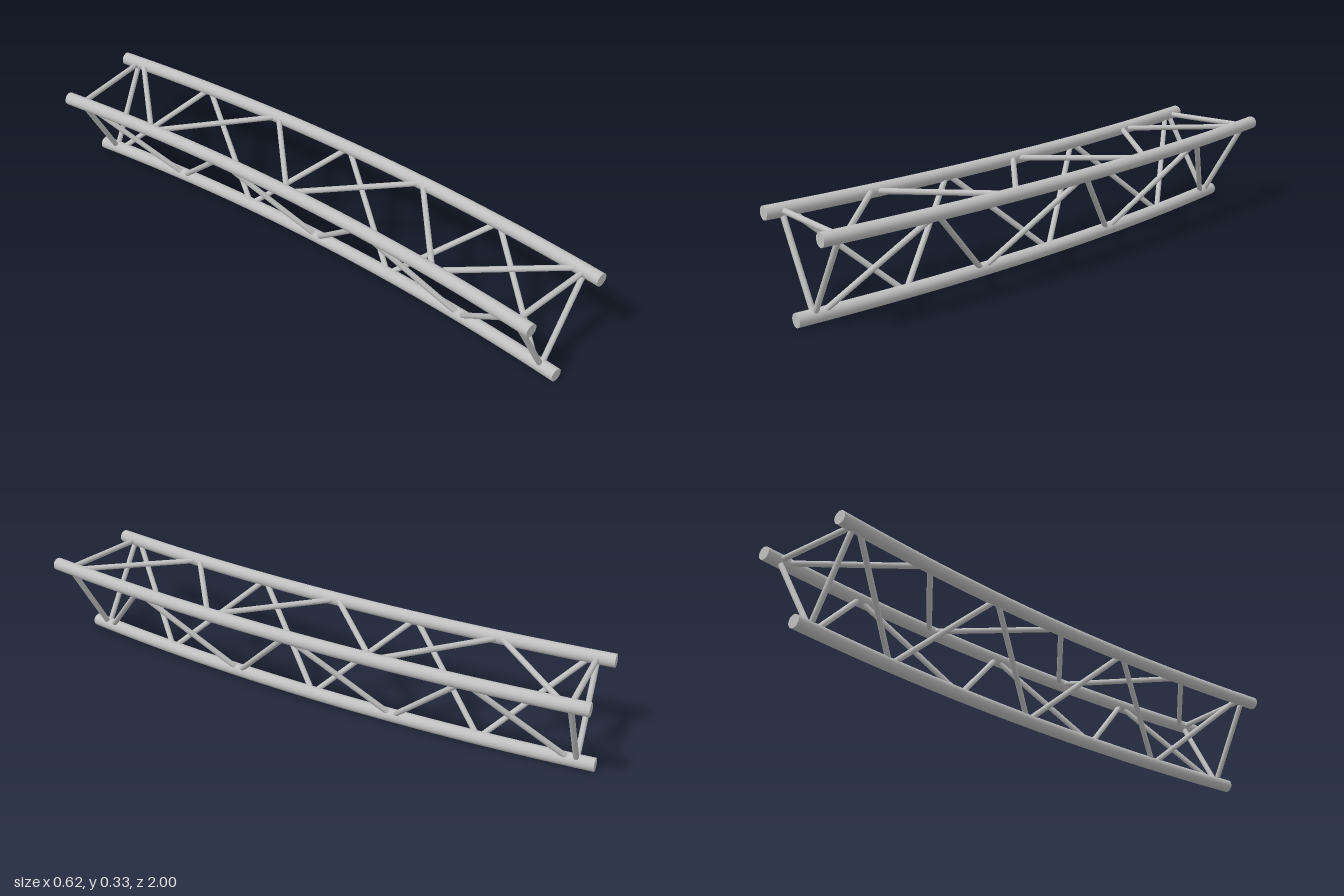
import * as THREE from 'three';

const ARC = THREE.MathUtils.degToRad(15);
const CENTRE_X = -7.415; // the truss bends round a vertical axis at (CENTRE_X, z = 1)
const TUBE_R = 0.0225, BRACE_R = 0.0095;
const TOP_Y = 0.308, LOW_Y = 0.024;

// the three chords: bend radius and height
const CHORDS = {
  right: { r: 7.376, y: TOP_Y },
  left: { r: 7.704, y: TOP_Y },
  lower: { r: 7.54, y: LOW_Y },
};

function pointOn(chord, angle) {
  const { r, y } = CHORDS[chord];
  return new THREE.Vector3(CENTRE_X + r * Math.cos(angle), y, 1 - r * Math.sin(angle));
}

class ChordCurve extends THREE.Curve {
  constructor(chord) {
    super();
    this.chord = chord;
  }
  getPoint(t, target = new THREE.Vector3()) {
    return target.copy(pointOn(this.chord, t * ARC));
  }
  getTangent(t, target = new THREE.Vector3()) {
    return target.set(-Math.sin(t * ARC), 0, -Math.cos(t * ARC));
  }
}

export function createModel() {
  const truss = new THREE.Group();
  truss.name = 'curvedTruss';
  const metal = new THREE.MeshStandardMaterial({ color: 0xbfbfbf });
  metal.name = 'light grey metal';

  // main curved tubes with closed ends
  for (const chord of Object.keys(CHORDS)) {
    const group = new THREE.Group();
    group.name = chord + 'Chord';
    const curve = new ChordCurve(chord);
    const tube = new THREE.Mesh(new THREE.TubeGeometry(curve, 32, TUBE_R, 20), metal);
    tube.name = chord + 'Tube';
    group.add(tube);
    for (const t of [0, 1]) {
      const cap = new THREE.Mesh(new THREE.CircleGeometry(TUBE_R, 20), metal);
      cap.name = chord + (t ? 'BackCap' : 'FrontCap');
      const end = curve.getPoint(t);
      const outward = curve.getTangent(t).multiplyScalar(t ? 1 : -1);
      cap.position.copy(end);
      cap.lookAt(end.clone().add(outward));
      group.add(cap);
    }
    truss.add(group);
  }

  // straight thin bar between two points
  const up = new THREE.Vector3(0, 1, 0);
  function addBrace(name, a, b) {
    const dir = b.clone().sub(a);
    const bar = new THREE.Mesh(
      new THREE.CylinderGeometry(BRACE_R, BRACE_R, dir.length(), 12, 1, true), metal);
    bar.name = name;
    bar.position.copy(a).add(b).multiplyScalar(0.5);
    bar.quaternion.setFromUnitVectors(up, dir.normalize());
    truss.add(bar);
  }

  // each face: zigzag lacing from its first chord, plus a bar at both ends
  const faces = [
    ['topBrace', 'left', 'right'],
    ['rightBrace', 'right', 'lower'],
    ['leftBrace', 'lower', 'left'],
  ];
  const node = (k) => THREE.MathUtils.degToRad(0.6 + k * 2.3);
  for (const [name, first, second] of faces) {
    for (let k = 0; k < 6; k++) {
      const [from, to] = k % 2 ? [second, first] : [first, second];
      addBrace(name, pointOn(from, node(k)), pointOn(to, node(k + 1)));
    }
    for (const degrees of [0.45, 14.55]) {
      const angle = THREE.MathUtils.degToRad(degrees);
      addBrace(name + 'End', pointOn(first, angle), pointOn(second, angle));
    }
  }
  return truss;
}
